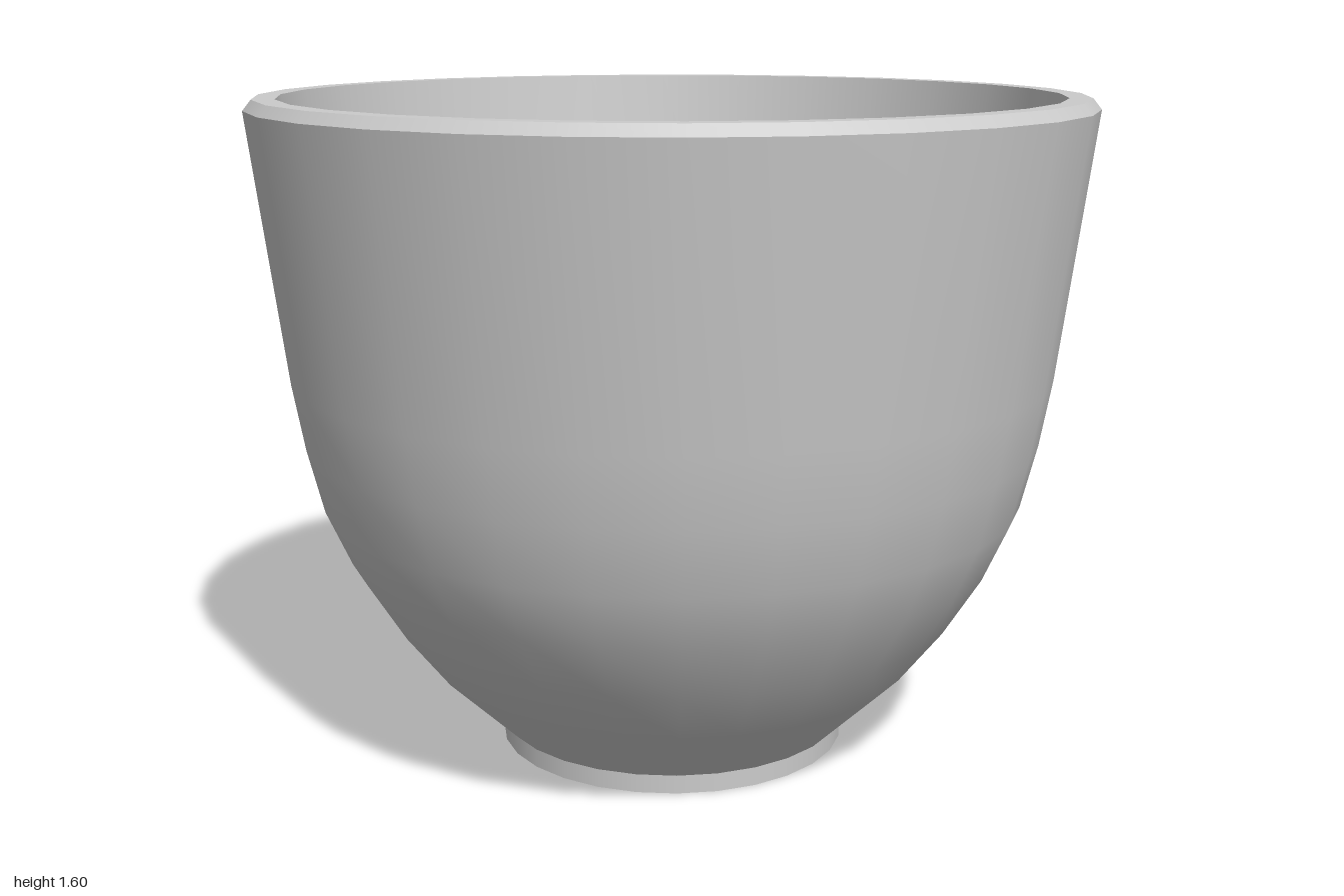
import * as THREE from 'three';

const SIDES = 28;
const material = new THREE.MeshStandardMaterial({ color: 0xcccccc });

// One smooth turned surface; separate surfaces meet in sharp edges.
function turned(name, profile) {
  const points = profile.map(([r, y]) => new THREE.Vector2(r, y));
  const mesh = new THREE.Mesh(new THREE.LatheGeometry(points, SIDES), material);
  mesh.name = name;
  return mesh;
}

export function createModel() {
  const cup = new THREE.Group();
  cup.name = 'cup';

  cup.add(
    // Flat base and short foot
    turned('footBase', [[0, 0], [0.43, 0]]),
    turned('footRing', [[0.43, 0], [0.43, 0.045]]),
    // Rounded bowl rising into a straight flared wall
    turned('outerWall', [
      [0.43, 0.045], [0.6, 0.21], [0.705, 0.345], [0.795, 0.49],
      [0.855, 0.625], [0.893, 0.78], [0.921, 0.94], [1, 1.575],
    ]),
    // Bevelled lip with a flat top
    turned('rimBevel', [[1, 1.575], [0.98, 1.6]]),
    turned('rimTop', [[0.98, 1.6], [0.927, 1.6]]),
    // Hollow inside, running down to a flat floor
    turned('innerWall', [
      [0.927, 1.6], [0.848, 0.95], [0.822, 0.8], [0.787, 0.66],
      [0.732, 0.53], [0.648, 0.39], [0.548, 0.265], [0.37, 0.1], [0, 0.1],
    ]),
  );
  return cup;
}
